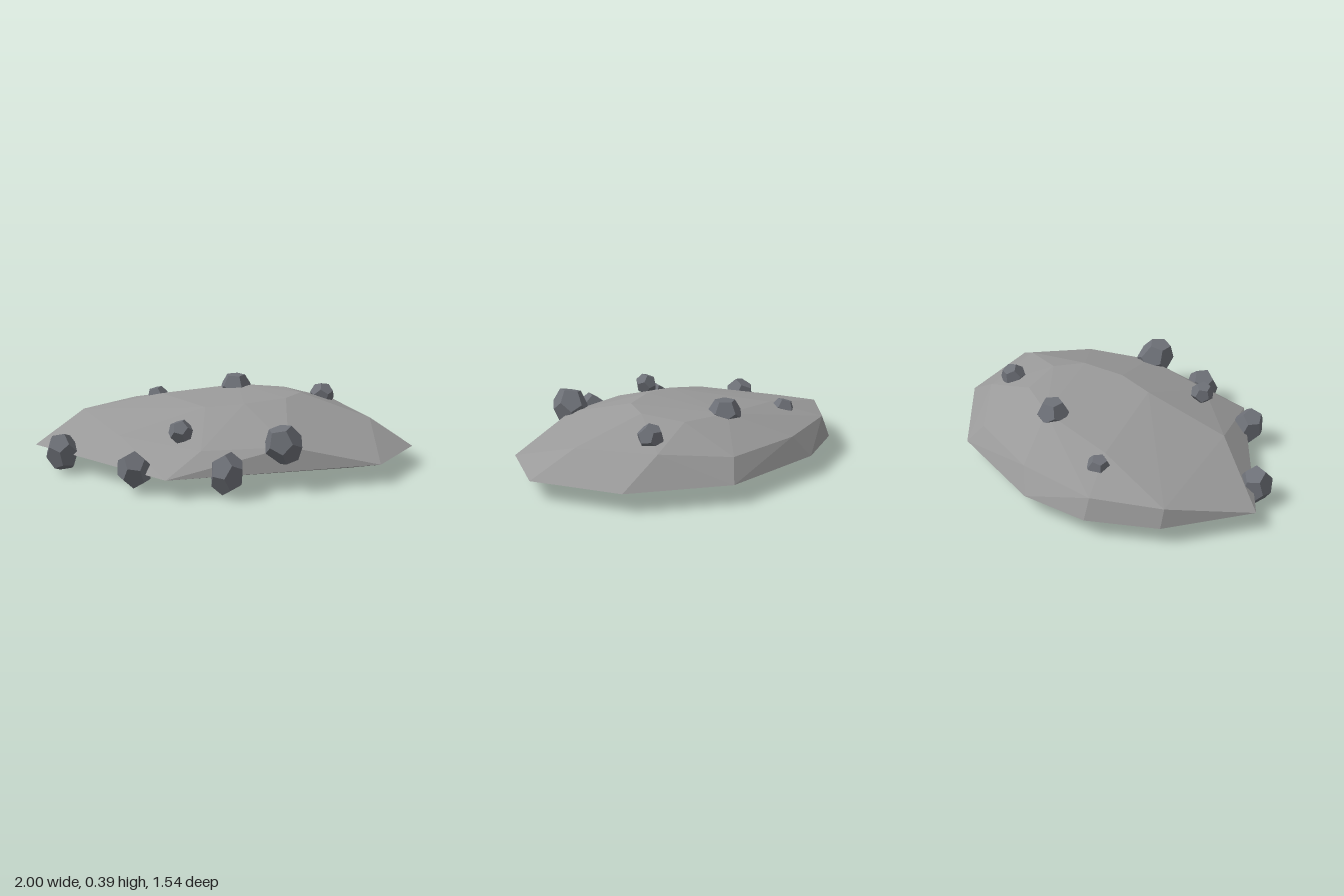
import * as THREE from 'three';
import { ConvexGeometry } from 'three/addons/geometries/ConvexGeometry.js';

const moundGrey = new THREE.MeshStandardMaterial({ color: 0x9a9a9a });
moundGrey.name = 'moundGrey';
const stoneGrey = new THREE.MeshStandardMaterial({ color: 0x6e7178, flatShading: true });
stoneGrey.name = 'stoneGrey';

// Widest outline of the mound: [x, z]
const RIM = [
  [-1, 0.32], [-0.91, -0.17], [-0.69, -0.48], [-0.38, -0.67], [0.22, -0.77],
  [0.73, -0.55], [1, -0.13], [0.87, 0.26], [-0.13, 0.77],
];
// Shoulder facets above the rim: [x, y, z]
const SHOULDER = [
  [-0.89, 0.2, -0.14], [-0.67, 0.215, -0.44], [-0.28, 0.22, -0.63], [0.16, 0.215, -0.69],
  [0.5, 0.25, -0.52], [0.76, 0.24, -0.17], [0.42, 0.22, 0.44], [0, 0.21, 0.58], [-0.48, 0.22, 0.43],
];
// Gently domed summit
const SUMMIT = [
  [-0.08, 0.335, 0.18], [0.12, 0.35, 0.12], [0.32, 0.36, -0.02], [0.37, 0.355, -0.19],
  [0.24, 0.335, -0.39], [-0.03, 0.335, -0.4], [-0.45, 0.29, -0.25],
];

// Half-buried stones: centre, radius, vertical stretch, rotation
const STONES = [
  { at: [-0.8, 0.11, 0.435], r: 0.09, tall: 1.22, turn: [0.2, 0.3, 0.1] },
  { at: [-0.32, 0.12, 0.68], r: 0.087, tall: 1.25, turn: [0.3, 0.8, 0.15] },
  { at: [0.15, 0.125, 0.65], r: 0.092, tall: 1.22, turn: [0.25, 1.3, -0.25] },
  { at: [0.4, 0.24, 0.47], r: 0.1, tall: 1.2, turn: [0.7, 0.2, 0.1] },
  { at: [-0.13, 0.28, 0.49], r: 0.064, tall: 1, turn: [0.4, 0.5, 0.1] },
  { at: [-0.04, 0.325, -0.365], r: 0.09, tall: 1, turn: [0.55, 0, 0] },
  { at: [0.46, 0.3, -0.4], r: 0.07, tall: 1, turn: [0.2, 0.6, -0.3] },
  { at: [-0.495, 0.255, -0.31], r: 0.065, tall: 1, turn: [0.5, 0.2, 0.2] },
];

export function createModel() {
  const model = new THREE.Group();
  model.name = 'rockyMound';

  // Faceted mound with a narrower flat underside
  const points = [
    ...RIM.map(([x, z]) => new THREE.Vector3(x, 0.105, z)),
    ...RIM.map(([x, z]) => new THREE.Vector3(x * 0.81, 0.06, z * 0.78)),
    ...[...SHOULDER, ...SUMMIT].map((p) => new THREE.Vector3(...p)),
  ];
  const mound = new THREE.Mesh(new ConvexGeometry(points), moundGrey);
  mound.name = 'mound';
  model.add(mound);

  // Twelve-sided stones scattered over the slope
  STONES.forEach(({ at, r, tall, turn }, i) => {
    const stone = new THREE.Mesh(new THREE.DodecahedronGeometry(r), stoneGrey);
    stone.name = `stone${i + 1}`;
    stone.position.set(...at);
    stone.rotation.set(...turn);
    stone.scale.set(1, tall, 1);
    model.add(stone);
  });

  return model;
}
